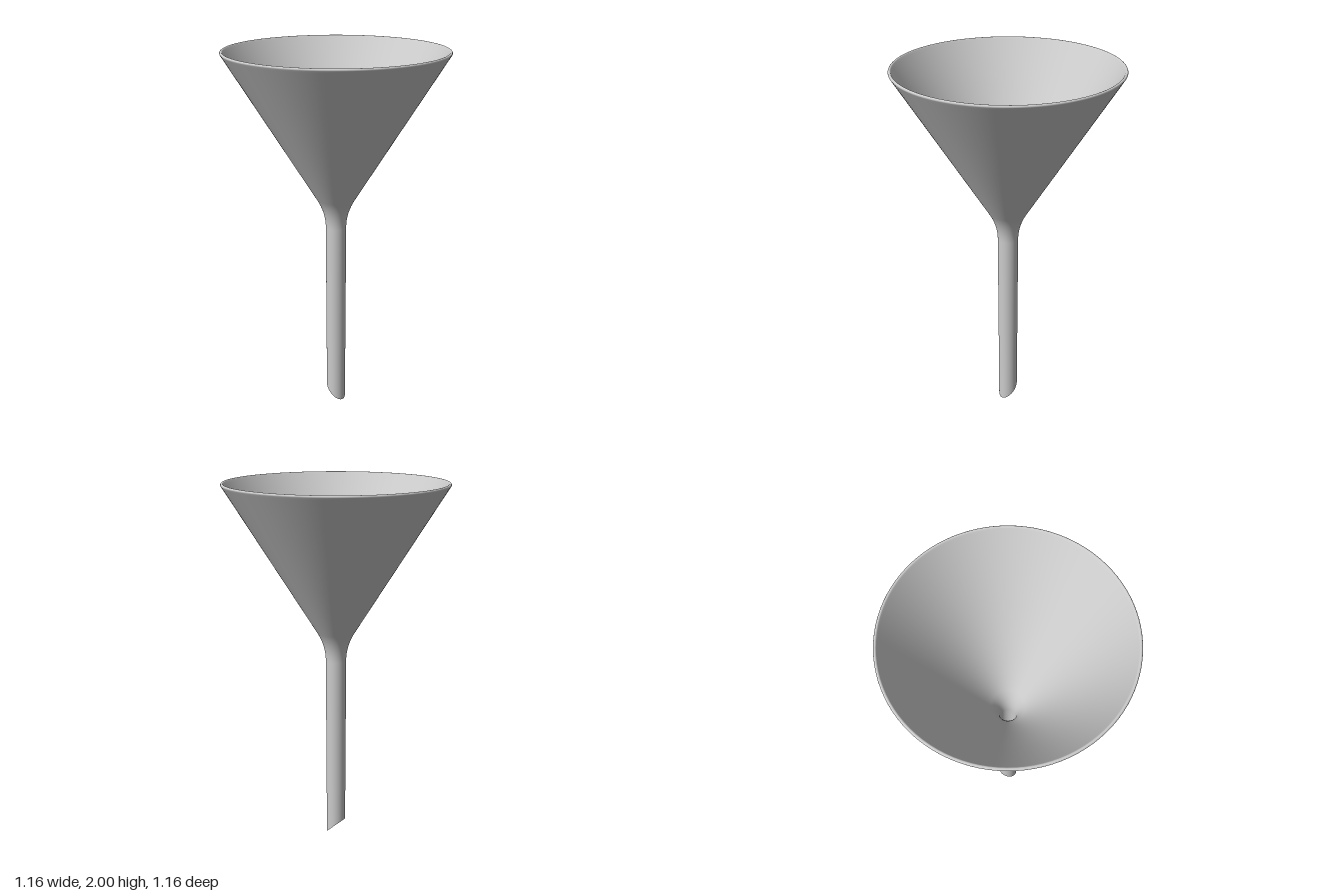
import * as THREE from 'three';

const SEGMENTS = 96;
const TIP_OUTER = 0.0525, TIP_INNER = 0.04;
const RIM = { r: 0.572, y: 1.9925, radius: 0.0075 };
const SLOPE = Math.atan2(0.852, 0.524); // angle of the cone wall

// Point on the wall: d is the distance from the rim, side is +1 outside and -1 inside
function wallPoint(d, side) {
  return new THREE.Vector2(
    RIM.r + side * RIM.radius * Math.sin(SLOPE) - d * Math.cos(SLOPE),
    RIM.y - side * RIM.radius * Math.cos(SLOPE) - d * Math.sin(SLOPE));
}

// One skin from the tip, round the neck and up to the rim
function wallProfile(side, tip, neck) {
  const top = wallPoint(0, side);
  const corner = new THREE.Vector2(neck, top.y - (top.x - neck) * Math.tan(SLOPE));
  const start = new THREE.Vector2(neck, corner.y - 0.085);
  const end = corner.clone().add(new THREE.Vector2(Math.cos(SLOPE), Math.sin(SLOPE)).multiplyScalar(0.09));
  const bend = new THREE.QuadraticBezierCurve(start, corner, end).getPoints(12);
  return [new THREE.Vector2(tip, 0), new THREE.Vector2(tip + 0.0005, 0.3), ...bend,
    wallPoint(0.4, side), wallPoint(0.01, side), top];
}

// Cut the bottom edge along a slanted plane, lowest at +x
function slantTip(geometry) {
  const p = geometry.attributes.position;
  for (let i = 0; i < p.count; i++) {
    if (p.getY(i) < 0.001) p.setY(i, 0.05 * (1 - p.getX(i) / TIP_OUTER));
  }
  return geometry;
}

export function createModel() {
  const group = new THREE.Group();
  group.name = 'funnel';
  const material = new THREE.MeshStandardMaterial({ color: 0xcccccc, side: THREE.DoubleSide });

  // Rounded rim joining the outer and inner skins
  const rim = [];
  for (let i = 1; i < 8; i++) {
    const a = SLOPE - Math.PI / 2 + (Math.PI * i) / 8;
    rim.push(new THREE.Vector2(RIM.r + RIM.radius * Math.cos(a), RIM.y + RIM.radius * Math.sin(a)));
  }

  // Cone and stem, outside and inside
  const profile = [...wallProfile(1, TIP_OUTER, 0.055), ...rim, ...wallProfile(-1, TIP_INNER, 0.042).reverse()];
  const body = new THREE.Mesh(slantTip(new THREE.LatheGeometry(profile, SEGMENTS)), material);
  body.name = 'coneAndStem';
  group.add(body);

  // Slanted end face of the stem
  const ring = [new THREE.Vector2(TIP_INNER, 0), new THREE.Vector2(TIP_OUTER, 0)];
  const endGeometry = slantTip(new THREE.LatheGeometry(ring, SEGMENTS));
  endGeometry.computeVertexNormals();
  const tip = new THREE.Mesh(endGeometry, material);
  tip.name = 'stemTip';
  group.add(tip);

  return group;
}
